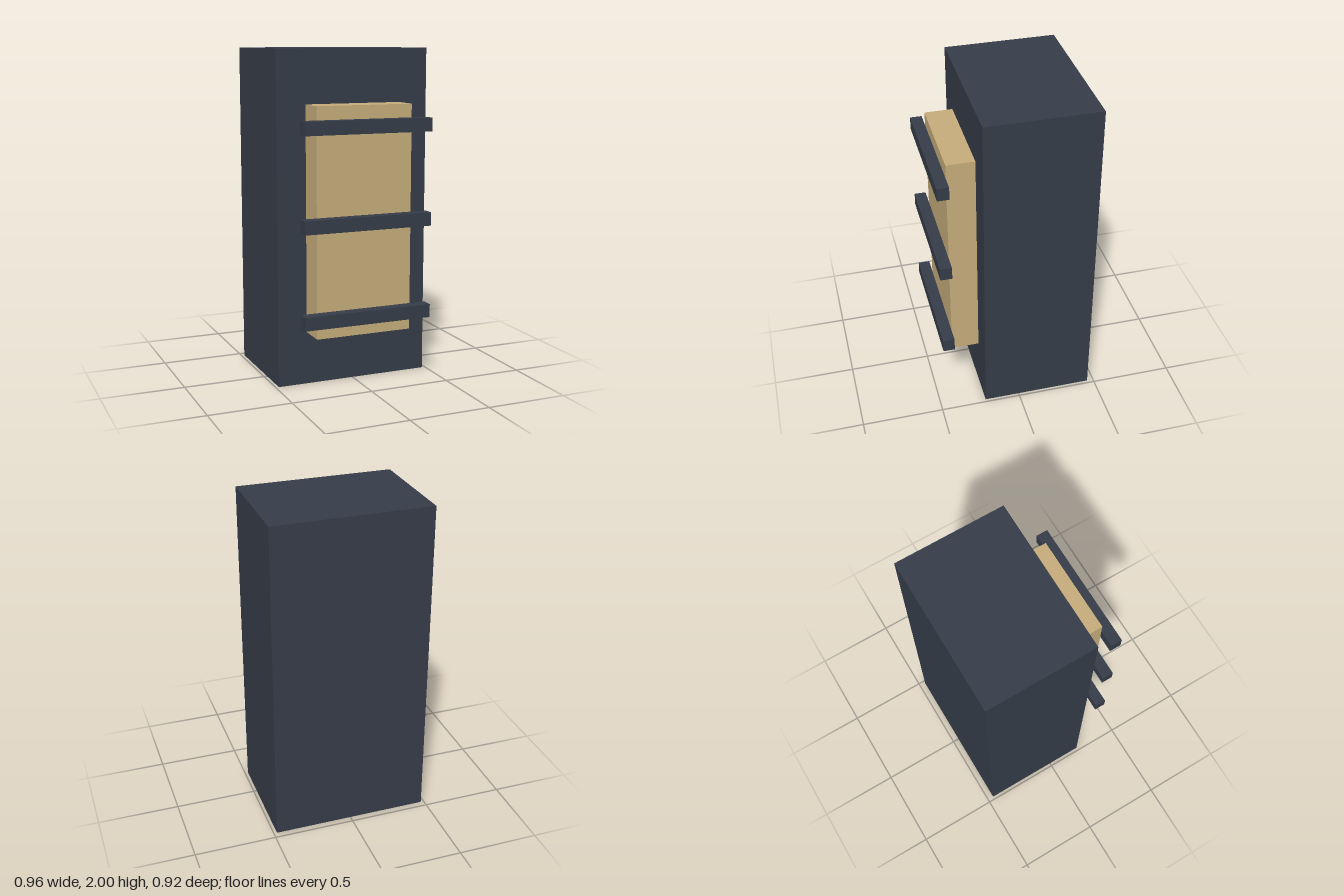
import * as THREE from 'three';

const dark = new THREE.MeshStandardMaterial({ color: 0x353c48 });
const tan = new THREE.MeshStandardMaterial({ color: 0xc5ac7b });

// Box given by its size and centre height, with its front face at frontZ
function box(name, material, width, height, depth, y, frontZ) {
  const mesh = new THREE.Mesh(new THREE.BoxGeometry(width, height, depth), material);
  mesh.name = name;
  mesh.position.set(0, y, frontZ - depth / 2);
  return mesh;
}

export function createModel() {
  const model = new THREE.Group();
  model.name = 'cabinet';

  // Tall body
  model.add(box('body', dark, 0.96, 2, 0.677, 1, 0.217));

  // Raised front panel
  model.add(box('frontPanel', tan, 0.6, 1.36, 0.17, 1, 0.387));

  // Three crossbars in front of the panel
  const bars = new THREE.Group();
  bars.name = 'crossbars';
  for (const y of [0.44, 1, 1.56]) {
    bars.add(box('crossbar', dark, 0.8, 0.08, 0.071, y, 0.46));
  }
  model.add(bars);

  return model;
}
